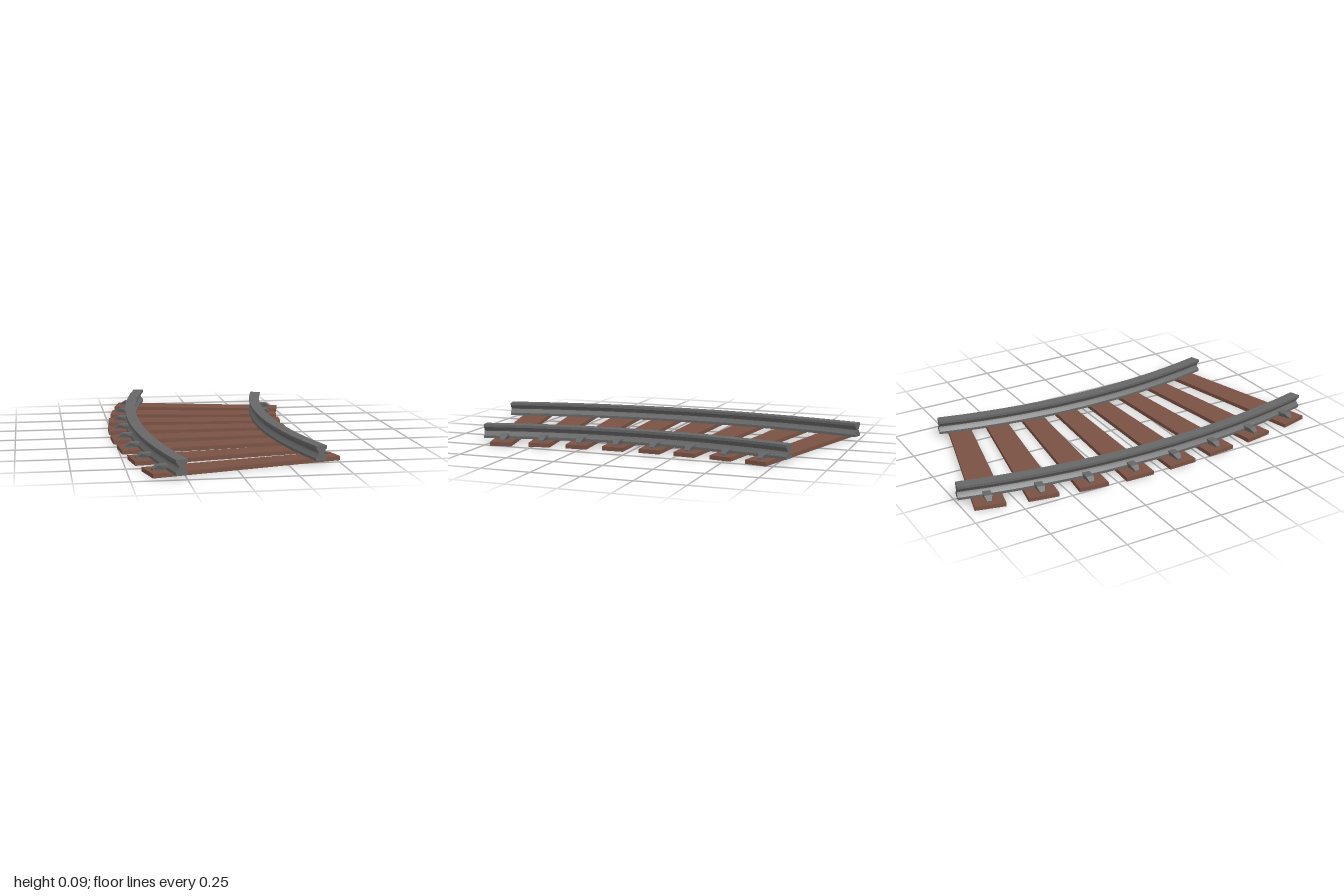
import * as THREE from 'three';
import { toCreasedNormals } from 'three/addons/utils/BufferGeometryUtils.js';

const steel = new THREE.MeshStandardMaterial({ color: 0x666666 });
const wood = new THREE.MeshStandardMaterial({ color: 0x7a5243 });

// Rail arcs: x at the middle, bend radius, half length in z
const outerRail = { name: 'outerRail', x: -0.396, radius: 4.1, half: 0.993 };
const innerRail = { name: 'innerRail', x: 0.297, radius: 3.13, half: 0.799 };

// Sleeper end centres: left x, left z, right x, right z
const sleepers = [
  [-0.415, -0.886, 0.5, -0.664],
  [-0.463, -0.632, 0.458, -0.479],
  [-0.497, -0.381, 0.437, -0.291],
  [-0.516, -0.135, 0.423, -0.107],
  [-0.516, 0.112, 0.424, 0.085],
  [-0.497, 0.357, 0.437, 0.275],
  [-0.463, 0.614, 0.458, 0.468],
  [-0.415, 0.88, 0.5, 0.66],
];

const polygon = (points) => new THREE.Shape(points.map(([x, y]) => new THREE.Vector2(x, y)));

// Waisted rail section, extruded straight and then bent around the arc centre
function makeRail({ name, x, radius, half }) {
  const side = [[0.028, 0.02], [0.028, 0.033], [0.016, 0.046], [0.012, 0.055], [0.016, 0.064], [0.028, 0.077], [0.028, 0.09]];
  const mirrored = side.map(([px, py]) => [-px, py]).reverse();
  const geometry = new THREE.ExtrudeGeometry(polygon([...side, ...mirrored]), { depth: 1, steps: 14, bevelEnabled: false });
  const endAngle = Math.asin(half / radius);
  const p = geometry.attributes.position;
  for (let i = 0; i < p.count; i++) {
    const angle = (2 * p.getZ(i) - 1) * endAngle;
    const r = radius - p.getX(i);
    p.setXYZ(i, x + radius - r * Math.cos(angle), p.getY(i), r * Math.sin(angle));
  }
  const mesh = new THREE.Mesh(toCreasedNormals(geometry, 0.6), steel);
  mesh.name = name;
  return mesh;
}

// Clip reaching out from under the rail, sloped and narrowed at its tip
function makeClipGeometry() {
  const width = 0.04;
  const shape = polygon([[0, 0.018], [0.09, 0.018], [0.09, 0.027], [0.065, 0.044], [0, 0.044]]);
  const geometry = new THREE.ExtrudeGeometry(shape, { depth: width, bevelEnabled: false });
  geometry.translate(0, 0, -width / 2);
  const p = geometry.attributes.position;
  for (let i = 0; i < p.count; i++) {
    if (p.getX(i) > 0.08) p.setZ(i, p.getZ(i) * 0.55);
  }
  geometry.computeVertexNormals();
  return geometry;
}

// Plank wider at its left end than at its right
function makePlank(length) {
  const geometry = new THREE.BoxGeometry(length, 0.02, 1);
  const p = geometry.attributes.position;
  for (let i = 0; i < p.count; i++) {
    p.setZ(i, p.getZ(i) * (p.getX(i) < 0 ? 0.151 : 0.11));
  }
  geometry.translate(0, 0.01, 0);
  geometry.computeVertexNormals();
  const mesh = new THREE.Mesh(geometry, wood);
  mesh.name = 'plank';
  return mesh;
}

// Fraction along a sleeper at which it passes under a rail
function crossing([xl, zl, xr, zr], rail) {
  let t = 0.5;
  for (let i = 0; i < 8; i++) {
    const z = zl + (zr - zl) * t;
    const x = rail.x + rail.radius - Math.sqrt(rail.radius ** 2 - z * z);
    t = (x - xl) / (xr - xl);
  }
  return t;
}

export function createModel() {
  const track = new THREE.Group();
  track.name = 'curvedTrack';
  track.add(makeRail(outerRail), makeRail(innerRail));

  const clipGeometry = makeClipGeometry();
  for (const ends of sleepers) {
    const [xl, zl, xr, zr] = ends;
    const length = Math.hypot(xr - xl, zr - zl);
    const sleeper = new THREE.Group();
    sleeper.name = 'sleeper';
    sleeper.position.set((xl + xr) / 2, 0, (zl + zr) / 2);
    sleeper.rotation.y = -Math.atan2(zr - zl, xr - xl);
    sleeper.add(makePlank(length));

    // One clip on the outside of each rail
    for (const rail of [outerRail, innerRail]) {
      const clip = new THREE.Mesh(clipGeometry, steel);
      clip.name = 'railClip';
      clip.position.x = (crossing(ends, rail) - 0.5) * length;
      if (rail === outerRail) clip.rotation.y = Math.PI;
      sleeper.add(clip);
    }
    track.add(sleeper);
  }
  return track;
}
